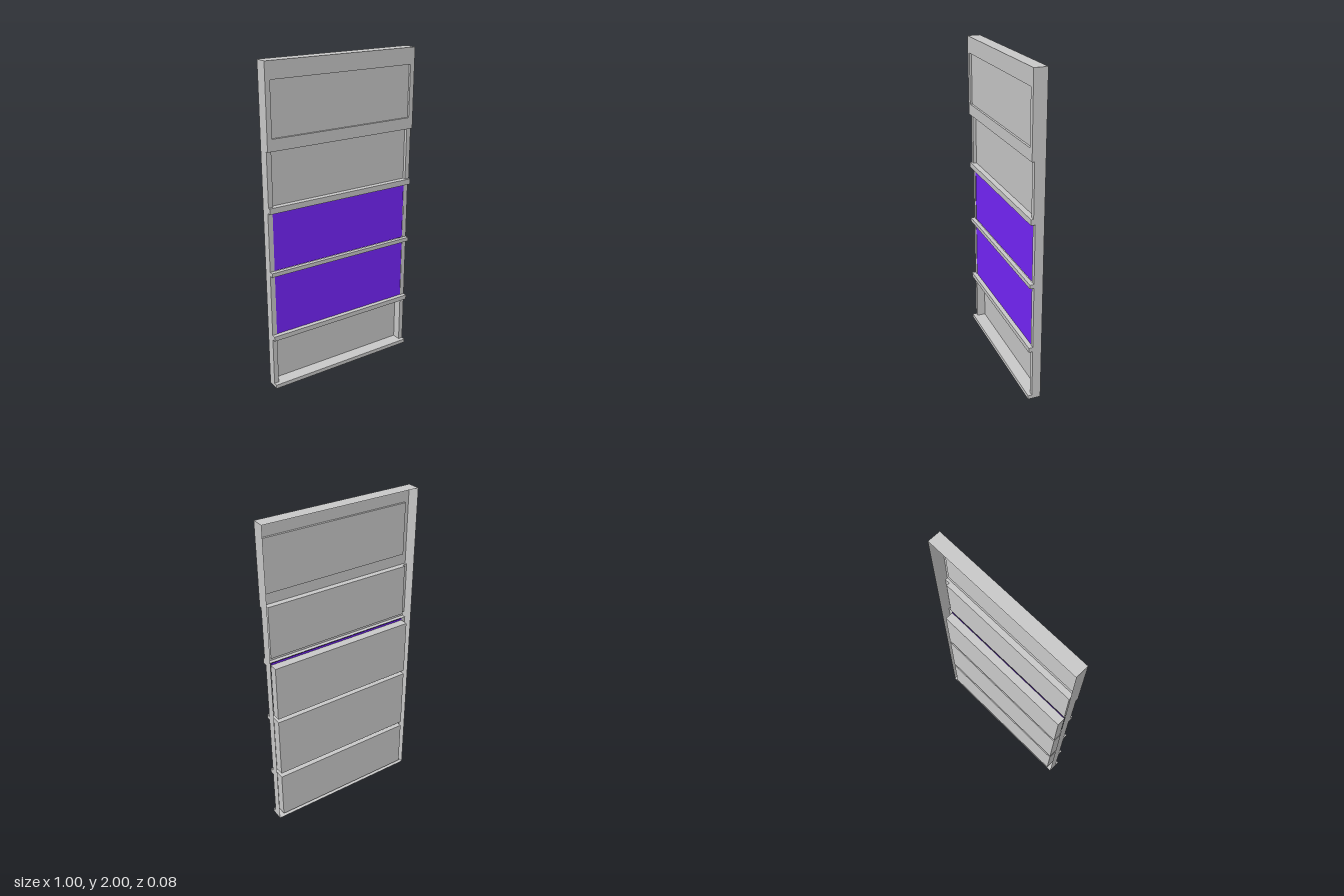
import * as THREE from 'three';

const grey = new THREE.MeshStandardMaterial({ color: 0xcccccc, side: THREE.DoubleSide });
const purple = new THREE.MeshStandardMaterial({ color: 0x7726ff, side: THREE.DoubleSide });

const HALF = 0.5;    // half the width
const INNER = 0.47;  // half the width of the openings
const BACK = -0.04;

// Side outline as [z, y]: the bands stand proud of the stiles
const profile = [
  [BACK, 0], [0.04, 0], [0.04, 0.025], [0.015, 0.025],
  [0.015, 0.335], [0.04, 0.335], [0.04, 0.365], [0.015, 0.365],
  [0.015, 0.76], [0.04, 0.76], [0.04, 0.785], [0.015, 0.785],
  [0.015, 1.15], [0.04, 1.15], [0.04, 1.185], [0.025, 1.185],
  [0.025, 1.51], [0.04, 1.51], [0.04, 2], [BACK, 2],
];

export function createModel() {
  const model = new THREE.Group();

  function add(parent, name, geometry, material = grey) {
    const mesh = new THREE.Mesh(geometry, material);
    mesh.name = name;
    parent.add(mesh);
    return mesh;
  }

  // Flat sheet facing the front
  function frontSheet(parent, name, x0, x1, y0, y1, z, material) {
    const g = new THREE.PlaneGeometry(x1 - x0, y1 - y0);
    g.translate((x0 + x1) / 2, (y0 + y1) / 2, z);
    return add(parent, name, g, material);
  }

  // Level sheet facing up (or down)
  function levelSheet(parent, name, halfWidth, y, z0, z1, up) {
    const g = new THREE.PlaneGeometry(halfWidth * 2, Math.abs(z1 - z0));
    g.rotateX(up ? -Math.PI / 2 : Math.PI / 2);
    g.translate(0, y, (z0 + z1) / 2);
    return add(parent, name, g);
  }

  // Pressed-in tray, open at the front
  function tray(name, y0, y1, zFront, zBack) {
    const group = new THREE.Group();
    group.name = name;
    frontSheet(group, 'trayFloor', -INNER, INNER, y0, y1, zBack);
    levelSheet(group, 'trayBottom', INNER, y0, zBack, zFront, true);
    levelSheet(group, 'trayTop', INNER, y1, zBack, zFront, false);
    for (const side of [-1, 1]) {
      const g = new THREE.PlaneGeometry(zFront - zBack, y1 - y0);
      g.rotateY(-side * Math.PI / 2);
      g.translate(side * INNER, (y0 + y1) / 2, (zFront + zBack) / 2);
      add(group, 'traySide', g);
    }
    model.add(group);
  }

  // Outer side walls
  const outline = new THREE.Shape(profile.map(([z, y]) => new THREE.Vector2(-z, y)));
  for (const side of [-1, 1]) {
    const g = new THREE.ShapeGeometry(outline);
    g.rotateY(Math.PI / 2);
    if (side < 0) {
      g.rotateY(Math.PI);
      g.scale(1, 1, -1);
      g.setIndex(Array.from(g.index.array).reverse());
      g.computeVertexNormals();
    }
    g.translate(side * HALF, 0, 0);
    add(model, 'sideWall', g);
  }

  // Front skin: bands across the full width, stiles beside the openings
  for (let i = 0; i < profile.length - 1; i++) {
    const [z0, y0] = profile[i];
    const [z1, y1] = profile[i + 1];
    if (y0 === y1) {
      levelSheet(model, y0 === 0 ? 'base' : 'bandEdge', HALF, y0, z0, z1, z1 < z0);
    } else if (z0 < 0.03) {
      frontSheet(model, 'stile', -HALF, -INNER, y0, y1, z0);
      frontSheet(model, 'stile', INNER, HALF, y0, y1, z0);
    } else if (y1 < 1.9) {
      frontSheet(model, 'band', -HALF, HALF, y0, y1, z0);
    }
  }

  // Header around the sign recess
  frontSheet(model, 'headerBottom', -HALF, HALF, 1.51, 1.58, 0.04);
  frontSheet(model, 'headerTop', -HALF, HALF, 1.9, 2, 0.04);
  frontSheet(model, 'headerSide', -HALF, -INNER, 1.58, 1.9, 0.04);
  frontSheet(model, 'headerSide', INNER, HALF, 1.58, 1.9, 0.04);

  // Recesses from top to bottom
  tray('signRecess', 1.58, 1.9, 0.04, 0.027);
  tray('upperRecess', 1.185, 1.51, 0.025, 0.005);
  tray('upperNiche', 0.785, 1.137, 0.012, BACK);
  tray('middleNiche', 0.365, 0.76, 0.015, BACK);
  tray('lowerNiche', 0.025, 0.335, 0.015, BACK);

  // Coloured panes closing the two middle niches
  frontSheet(model, 'upperPane', -INNER, INNER, 0.785, 1.15, 0.012, purple);
  frontSheet(model, 'lowerPane', -INNER, INNER, 0.365, 0.76, 0.012, purple);

  return model;
}
